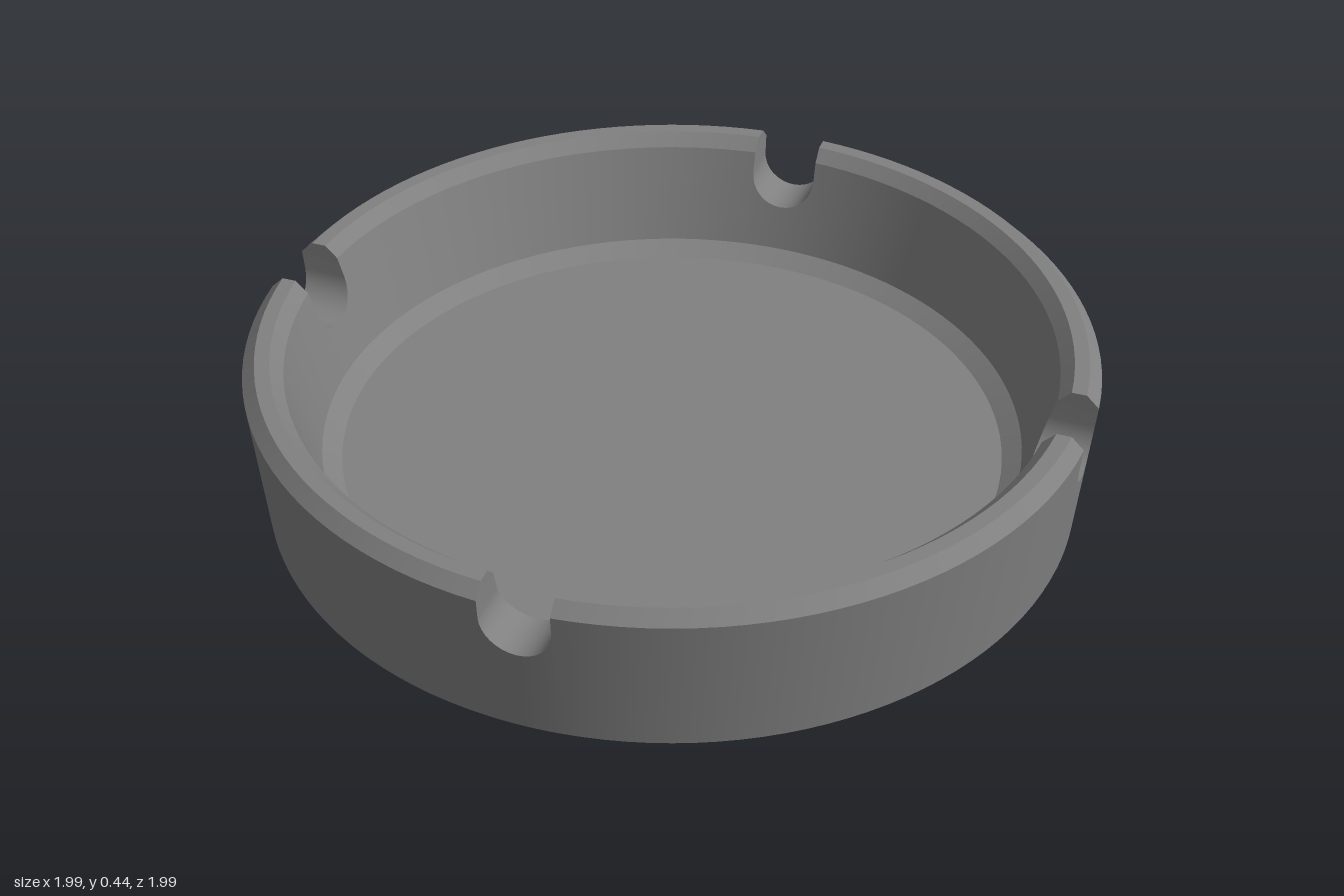
import * as THREE from 'three';
import { toCreasedNormals } from 'three/addons/utils/BufferGeometryUtils.js';

const NOTCH = 0.082;        // notch half width
const NOTCH_CENTRE = 0.36;  // height of the notch's round centre

// radius of the sloping outer and inner wall at a height
const outerR = (y) => 0.97 + 0.03 * (y - 0.06) / 0.35;
const innerR = (y) => 0.835 + 0.07 * (y - 0.17) / 0.24;

// Columns around the ring: each has an angle rule and a height it is cut at
function makeColumns() {
  const columns = [];
  for (let q = 0; q < 4; q++) {
    const turn = q * Math.PI / 2;
    for (let k = 0; k <= 16; k++) {
      const phi = -Math.PI / 2 + Math.PI * k / 16;
      const s = NOTCH * Math.sin(phi);
      columns.push({
        cut: NOTCH_CENTRE - NOTCH * Math.cos(phi),
        angle: (r) => turn + Math.asin(s / r),
      });
    }
    for (let k = 0; k <= 28; k++) {
      columns.push({
        cut: Infinity,
        angle: (r) => {
          const a = Math.asin(NOTCH / r);
          return turn + a + (k / 28) * (Math.PI / 2 - 2 * a);
        },
      });
    }
  }
  return columns;
}

// Sweep a profile of [radius, height, side] through the columns
function loft(profile, columns) {
  const rings = columns.map(({ cut, angle }) => profile.map(([r, y, side]) => {
    if (y > cut) {
      y = cut;
      r = side === 'in' ? innerR(y) : outerR(y);
    }
    const a = angle(Math.max(r, 0.79));
    return new THREE.Vector3(r * Math.sin(a), y, r * Math.cos(a));
  }));
  const positions = [];
  const triangle = new THREE.Triangle();
  const add = (a, b, c) => {
    if (triangle.set(a, b, c).getArea() < 1e-7) return;
    for (const p of [a, b, c]) positions.push(p.x, p.y, p.z);
  };
  rings.forEach((ring, i) => {
    const next = rings[(i + 1) % rings.length];
    for (let j = 0; j < profile.length - 1; j++) {
      add(ring[j], next[j], next[j + 1]);
      add(ring[j], next[j + 1], ring[j + 1]);
    }
  });
  const geometry = new THREE.BufferGeometry();
  geometry.setAttribute('position', new THREE.Float32BufferAttribute(positions, 3));
  return toCreasedNormals(geometry, 0.4);
}

export function createModel() {
  const group = new THREE.Group();
  group.name = 'ashtray';
  const grey = new THREE.MeshStandardMaterial({ color: 0x808080 });
  grey.name = 'grey';
  const columns = makeColumns();

  const parts = {
    // raised foot disc and flat underside
    foot: [[0, 0], [0.8, 0], [0.8, 0.027], [0.92, 0.027]],
    // bevelled wall with four rounded rests cut through the rim
    notchedWall: [
      [0.92, 0.027], [0.97, 0.06], [1, 0.41, 'out'], [0.97, 0.44, 'out'],
      [0.935, 0.44, 'in'], [0.905, 0.41, 'in'], [0.835, 0.17],
    ],
    // inner floor with its sloping border
    bowlFloor: [[0.835, 0.17], [0.79, 0.14], [0, 0.14]],
  };
  for (const [name, profile] of Object.entries(parts)) {
    const mesh = new THREE.Mesh(loft(profile, columns), grey);
    mesh.name = name;
    group.add(mesh);
  }
  return group;
}
